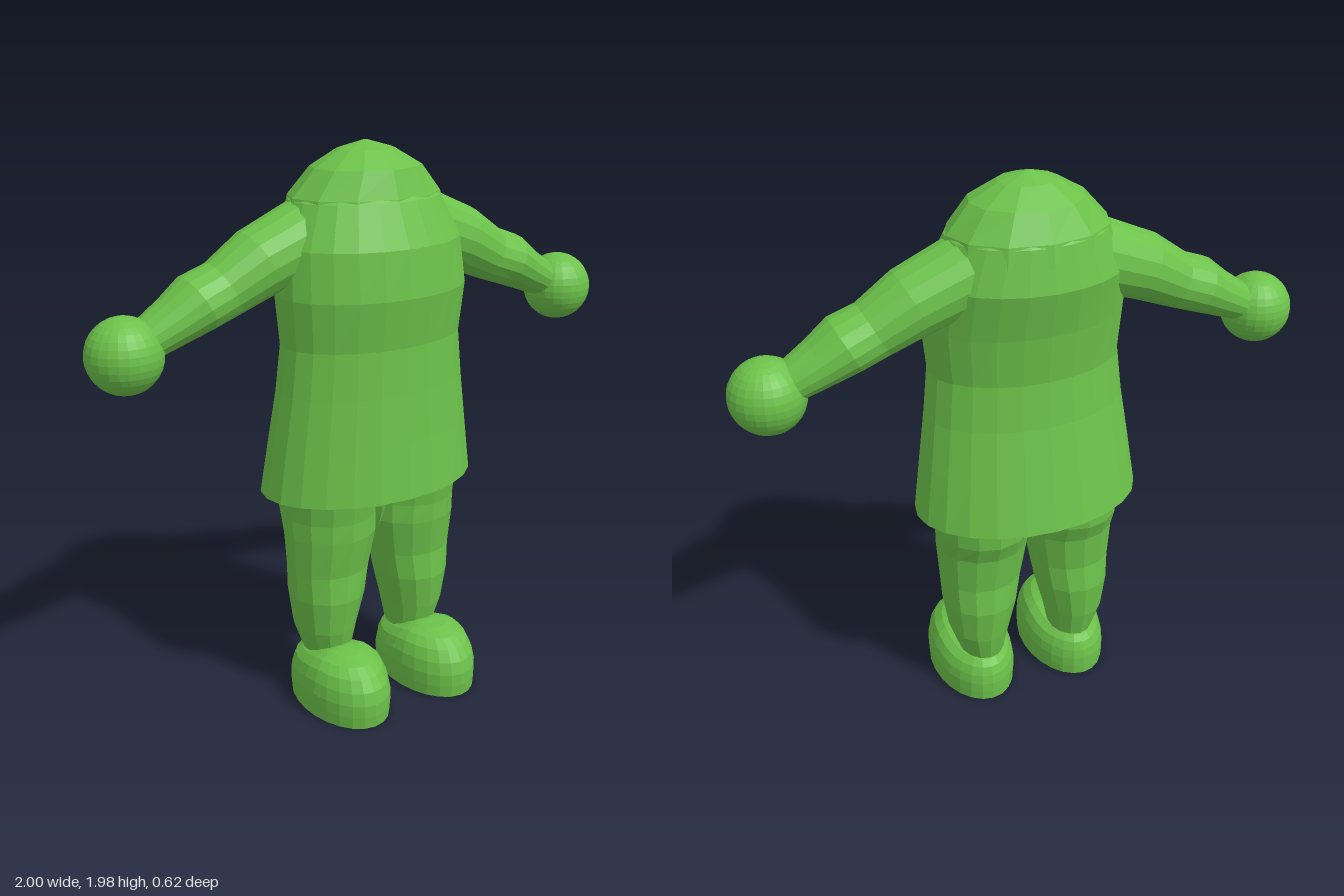
import * as THREE from 'three';

const material = new THREE.MeshStandardMaterial({ color: 0x6cc24a, flatShading: true });

// Skin a list of closed rings (each a list of Vector3) and cap both ends.
function loft(name, rings) {
  const n = rings[0].length, pos = [], idx = [];
  rings.forEach(r => r.forEach(p => pos.push(p.x, p.y, p.z)));
  for (let r = 0; r < rings.length - 1; r++) {
    for (let i = 0; i < n; i++) {
      const a = r * n + i, b = r * n + (i + 1) % n;
      idx.push(a, b, b + n, a, b + n, a + n);
    }
  }
  [0, rings.length - 1].forEach((r, end) => {
    const c = new THREE.Vector3();
    rings[r].forEach(p => c.addScaledVector(p, 1 / n));
    const k = pos.length / 3;
    pos.push(c.x, c.y, c.z);
    for (let i = 0; i < n; i++) {
      const a = r * n + i, b = r * n + (i + 1) % n;
      if (end) idx.push(k, a, b); else idx.push(k, b, a);
    }
  });
  const g = new THREE.BufferGeometry();
  g.setAttribute('position', new THREE.Float32BufferAttribute(pos, 3));
  g.setIndex(idx);
  g.computeVertexNormals();
  const mesh = new THREE.Mesh(g, material);
  mesh.name = name;
  return mesh;
}

const around = (n, fn) => Array.from({ length: n }, (_, i) => {
  const a = (i / n) * Math.PI * 2;
  return fn(Math.sin(a), Math.cos(a));
});

// Horizontal ellipse between xMin..xMax and zBack..zFront.
const oval = (n, y, xMin, xMax, zFront, zBack) => around(n, (s, c) => new THREE.Vector3(
  (xMin + xMax) / 2 + s * (xMax - xMin) / 2, y, (zFront + zBack) / 2 + c * (zFront - zBack) / 2));

function makeArm(side) {
  // centre x, centre y, radius across, radius in z
  const rows = [
    [0.20, 1.69, 0.13, 0.135], [0.40, 1.615, 0.117, 0.123], [0.53, 1.545, 0.098, 0.106],
    [0.622, 1.512, 0.097, 0.118], [0.705, 1.465, 0.08, 0.1], [0.83, 1.40, 0.062, 0.072],
  ];
  const px = 0.45, py = 0.89;
  return loft('arm', rows.map(([x, y, r, rz]) => around(16, (s, c) => new THREE.Vector3(
    side * (x + px * r * s), y + py * r * s, -0.06 - side * rz * c))));
}

function makeLeg(side) {
  // y, inner x, outer x, front z, back z
  const rows = [
    [0.17, 0.10, 0.265, 0.075, -0.135], [0.27, 0.08, 0.30, 0.10, -0.16],
    [0.40, 0.045, 0.32, 0.12, -0.175], [0.50, 0.025, 0.327, 0.115, -0.165],
    [0.64, 0.0, 0.335, 0.14, -0.185], [0.71, 0.0, 0.338, 0.145, -0.215],
    [0.84, 0.0, 0.342, 0.17, -0.225],
  ];
  return loft('leg', rows.map(([y, a, b, f, k]) =>
    oval(14, y, Math.min(side * a, side * b), Math.max(side * a, side * b), f, k)));
}

function makeFoot(side) {
  // height fraction, outline scale; the instep dips toward the heel
  const rows = [[0, 0.98], [0.2, 1], [0.4, 1], [0.6, 0.95], [0.78, 0.84], [0.9, 0.66], [0.97, 0.42], [1, 0.12]];
  return loft('foot', rows.map(([v, k]) => around(24, (s, c) => {
    const z = 0.073 + c * 0.242 * (c < 0 ? Math.pow(k, 0.4) : k);
    const height = 0.18 + 0.046 * THREE.MathUtils.smoothstep(z, -0.06, 0.13);
    return new THREE.Vector3(side * 0.188 + s * 0.152 * k, v * height, z);
  })));
}

export function createModel() {
  const model = new THREE.Group();
  model.name = 'figure';

  // Tunic: y, half width, front z, back z
  model.add(loft('tunic', [
    [0.8, 0.408, 0.24, -0.31], [1.0, 0.38, 0.225, -0.272], [1.17, 0.355, 0.215, -0.24],
    [1.33, 0.337, 0.21, -0.225], [1.5, 0.352, 0.236, -0.245], [1.66, 0.34, 0.22, -0.28],
    [1.8, 0.275, 0.16, -0.25], [1.84, 0.22, 0.12, -0.22],
  ].map(([y, w, f, b]) => oval(24, y, -w, w, f, b))));

  // Faceted rounded top
  model.add(loft('hood', [
    [1.74, 0.29, 0.17, -0.265], [1.81, 0.275, 0.155, -0.25], [1.9, 0.195, 0.125, -0.2],
    [1.955, 0.1, 0.045, -0.125], [1.98, 0.01, -0.03, -0.05],
  ].map(([y, w, f, b]) => oval(12, y, -w, w, f, b))));

  // Gusset joining the legs
  model.add(loft('hips', [
    [0.62, 0.012, 0.04, -0.09], [0.71, 0.06, 0.07, -0.13], [0.84, 0.14, 0.1, -0.16],
  ].map(([y, w, f, b]) => oval(8, y, -w, w, f, b))));

  for (const side of [1, -1]) {
    const hand = new THREE.Mesh(new THREE.SphereGeometry(0.125, 24, 16), material);
    hand.name = 'hand';
    hand.position.set(side * 0.875, 1.38, -0.055);
    model.add(makeArm(side), hand, makeLeg(side), makeFoot(side));
  }
  return model;
}
